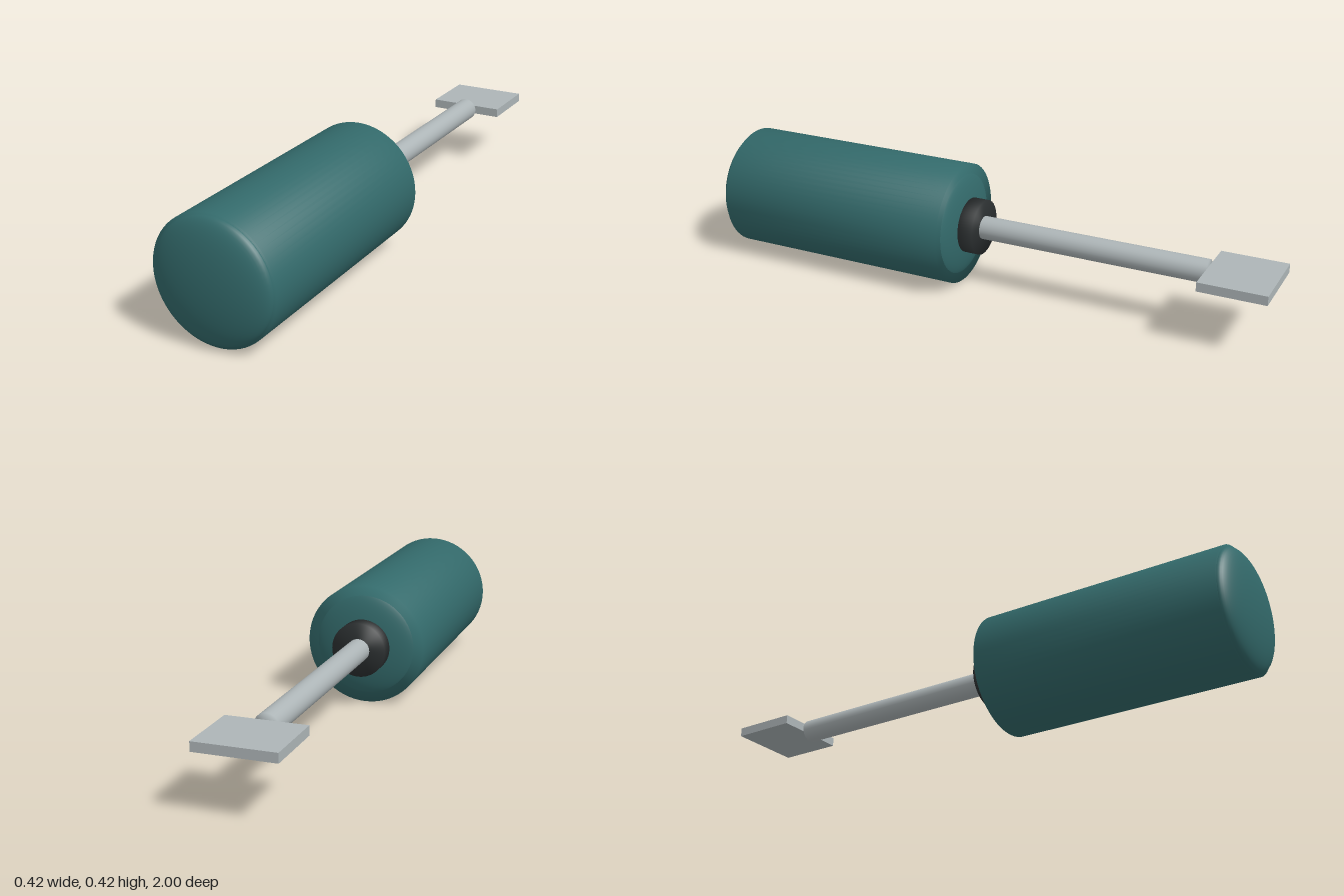
import * as THREE from 'three';

const AXIS_Y = 0.209;
const teal = new THREE.MeshStandardMaterial({ color: 0x336a6b });
const steel = new THREE.MeshStandardMaterial({ color: 0xadb5b7 });
const black = new THREE.MeshStandardMaterial({ color: 0x2a2e2f });

export function createModel() {
  const model = new THREE.Group();

  const add = (name, geometry, material, z) => {
    const mesh = new THREE.Mesh(geometry, material);
    mesh.name = name;
    mesh.position.set(0, AXIS_Y, z);
    model.add(mesh);
  };

  // Closed cylinder along z whose normals blend softly into the end caps
  const rod = (name, radius, z0, z1, material, segments = 64) => {
    const profile = [[0, z0], [radius, z0], [radius, z1], [0, z1]].map(p => new THREE.Vector2(...p));
    add(name, new THREE.LatheGeometry(profile, segments).rotateX(Math.PI / 2), material, 0);
  };

  // Flattened sphere closing an end of the handle
  const dome = (name, radius, depth, z) => {
    const geometry = new THREE.SphereGeometry(1, 64, 32).rotateX(Math.PI / 2).scale(radius, radius, depth);
    add(name, geometry, teal, z);
  };

  // Handle with a domed butt and a shallower domed shoulder
  rod('handle', 0.209, 0.095, 0.945, teal);
  dome('handleButt', 0.201, 0.055, 0.945);
  dome('handleShoulder', 0.19, 0.05, 0.115);

  // Collar, shaft and flat blade
  rod('collar', 0.095, 0.018, 0.085, black);
  rod('shaft', 0.04, -0.775, 0.05, steel, 32);
  add('blade', new THREE.BoxGeometry(0.263, 0.031, 0.225), steel, -0.8875);
  model.getObjectByName('blade').position.y += 0.003;

  return model;
}
